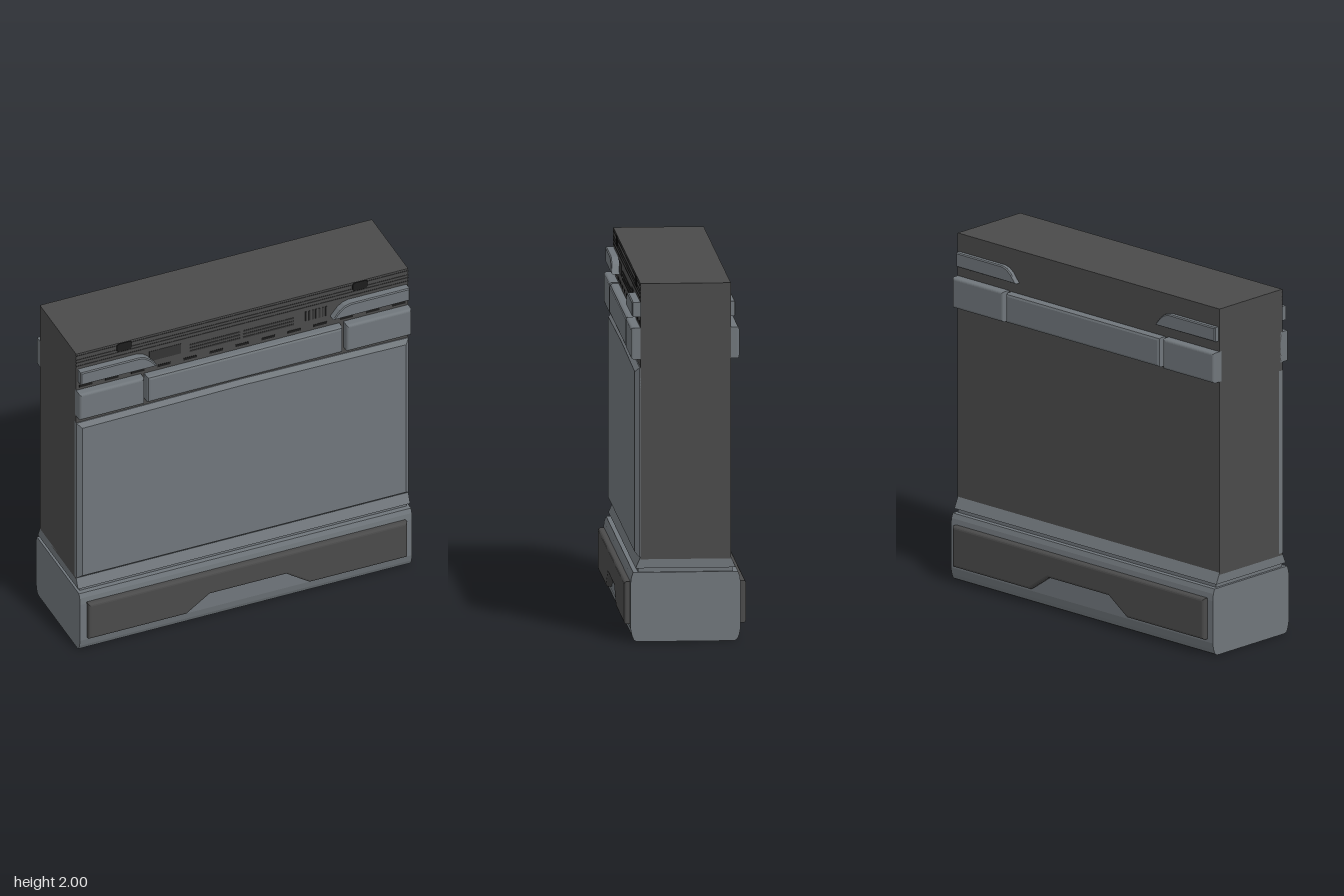
import * as THREE from 'three';

const dark = new THREE.MeshStandardMaterial({ color: 0x4a4a4a });
const steel = new THREE.MeshStandardMaterial({ color: 0x70767b });
const black = new THREE.MeshStandardMaterial({ color: 0x1c1c1c });
const trim = new THREE.MeshStandardMaterial({ color: 0x343434 });

const shapeOf = (pts) => new THREE.Shape(pts.map(([x, y]) => new THREE.Vector2(x, y)));
const rect = (x0, x1, y0, y1) => [[x0, y0], [x1, y0], [x1, y1], [x0, y1]];

export function createModel() {
  const model = new THREE.Group();

  const add = (parent, name, geometry, material) => {
    const mesh = new THREE.Mesh(geometry, material);
    mesh.name = name;
    parent.add(mesh);
    return mesh;
  };

  // Box given by its limits
  const box = (parent, name, material, x0, x1, y0, y1, z0, z1) => {
    const g = new THREE.BoxGeometry(x1 - x0, y1 - y0, z1 - z0);
    g.translate((x0 + x1) / 2, (y0 + y1) / 2, (z0 + z1) / 2);
    return add(parent, name, g, material);
  };

  // Symmetric section (half outline of [z, y] going up) swept along x
  const sweep = (name, material, half, halfLength) => {
    const outline = [...half, ...half.map(([z, y]) => [-z, y]).reverse()];
    const g = new THREE.ExtrudeGeometry(shapeOf(outline), { depth: 2 * halfLength, bevelEnabled: false });
    g.translate(0, 0, -halfLength);
    g.rotateY(Math.PI / 2);
    return add(model, name, g, material);
  };

  // Plate in the xy plane with a bevelled outer face, from z0 to z1
  const plate = (parent, name, material, outline, z0, z1, bevel, segments = 2) => {
    const g = new THREE.ExtrudeGeometry(shapeOf(outline), {
      depth: z1 - z0, bevelThickness: bevel, bevelSize: bevel,
      bevelOffset: -bevel, bevelSegments: segments,
    });
    // the rear bevel sinks into the body behind the plate
    g.translate(0, 0, z0 - bevel);
    return add(parent, name, g, material);
  };

  // Main casing
  box(model, 'casing', dark, -1, 1, 0.46, 2, -0.25, 0.25);

  // Foot, groove and flared neck
  sweep('base', steel, [
    [0.27, 0], [0.287, 0.01], [0.297, 0.035], [0.305, 0.075],
    [0.305, 0.32], [0.3, 0.36], [0.29, 0.387],
  ], 1);
  sweep('grooveCore', steel, [[0.262, 0.38], [0.262, 0.415]], 0.985);
  sweep('neck', steel, [[0.277, 0.41], [0.25, 0.472]], 1);

  // Large front cover with a faintly peaked top
  plate(model, 'frontCover', steel,
    [[-1, 0.472], [1, 0.472], [1, 1.53], [0, 1.543], [-1, 1.53]], 0.25, 0.28, 0.025, 1);

  // Trim shared by the front and back faces
  const addTrim = (parent, wingZ, bandZ) => {
    plate(parent, 'footPlate', dark, [
      [-0.96, 0.093], [-0.37, 0.093], [-0.23, 0.19], [0.23, 0.19],
      [0.37, 0.093], [0.96, 0.093], [0.96, 0.33], [-0.96, 0.33],
    ], 0.305, 0.338, 0.015, 3);
    plate(parent, 'centreBand', steel, rect(-0.59, 0.585, 1.58, 1.75), 0.25, bandZ, 0.016, 2);
    for (const s of [-1, 1]) {
      const side = s < 0 ? 'right' : 'left';
      const outline = rect(0.61, 1, 1.578, 1.753).map(([x, y]) => [s * x, y]);
      plate(parent, side + 'Band', steel, outline, 0.25, bandZ, 0.014, 4);
      const wing = [
        [0.53, 1.812], [0.99, 1.812], [0.99, 1.895], [0.635, 1.895],
        [0.6, 1.885], [0.57, 1.862],
      ].map(([x, y]) => [s * x, y]);
      plate(parent, side + 'Wing', steel, wing, 0.25, wingZ, 0.006, 1);
    }
  };
  const front = new THREE.Group();
  front.name = 'frontTrim';
  addTrim(front, 0.295, 0.302);
  const back = new THREE.Group();
  back.name = 'backTrim';
  back.rotation.y = Math.PI;
  addTrim(back, 0.278, 0.298);
  model.add(front, back);

  // Fine details of the upper front, nearly flush with the casing
  const details = new THREE.Group();
  details.name = 'frontDetails';
  model.add(details);
  const strip = (name, material, x0, x1, y0, y1, rise = 0.002) =>
    box(details, name, material, x0, x1, y0, y1, 0.24, 0.25 + rise);

  // Long seams near the top edge
  for (const y of [1.915, 1.938, 1.957, 1.985]) strip('topSeam', trim, -1, 1, y - 0.003, y + 0.003);

  // Row of slots
  for (let i = -6; i <= 6; i++) {
    const x = i * 0.157;
    strip('slot', black, x - 0.04, x + 0.04, 1.768, 1.783);
  }

  // Paired air vents
  for (const x of [-0.317, 0.005]) {
    for (let i = 0; i < 3; i++) {
      const y = 1.82 + i * 0.021;
      strip('ventSlit', trim, x, x + 0.305, y - 0.005, y + 0.005);
    }
  }

  // Display window and ribbed grip
  strip('window', trim, -0.56, -0.37, 1.822, 1.888);
  for (let i = 0; i < 7; i++) {
    const x = 0.385 + i * 0.02;
    strip('gripRib', trim, x - 0.005, x + 0.005, 1.822, 1.886, 0.003);
  }

  // Eight-sided latches
  for (const x of [-0.71, 0.71]) {
    const w = 0.047, h = 0.029, c = 0.013;
    const outline = [
      [-w + c, -h], [w - c, -h], [w, -h + c], [w, h - c],
      [w - c, h], [-w + c, h], [-w, h - c], [-w, -h + c],
    ].map(([a, b]) => [x + a, 1.97 + b]);
    plate(details, 'latch', black, outline, 0.249, 0.254, 0.002, 1);
  }

  return model;
}
